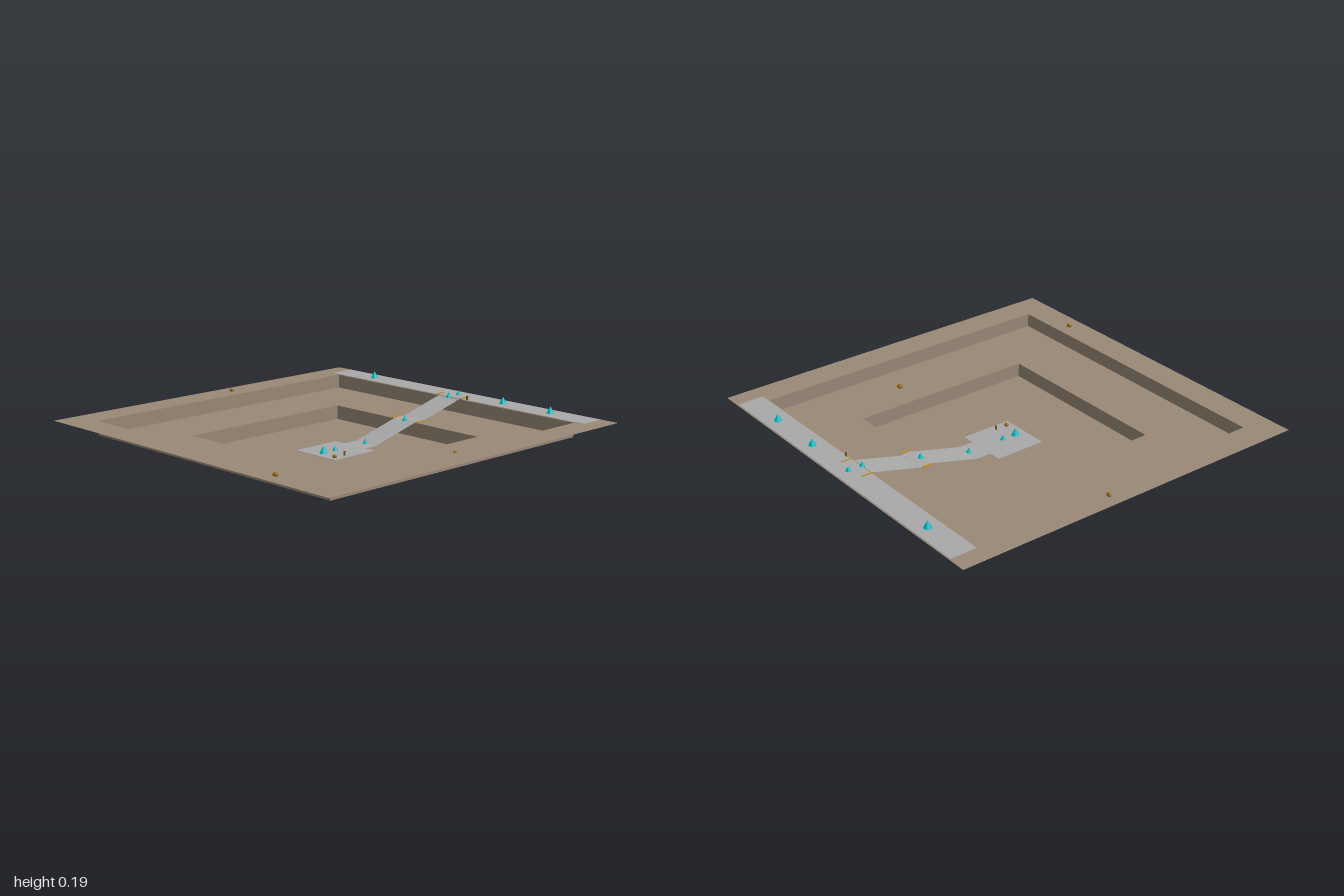
import * as THREE from 'three';

export function createModel() {
  const model = new THREE.Group();
  const mat = (name, color, extra = {}) => {
    const m = new THREE.MeshStandardMaterial({ color, ...extra });
    m.name = name;
    return m;
  };
  const earth = mat('earth brown', 0x998877, { side: THREE.DoubleSide });
  const paving = mat('paving grey', 0xa9a9a9, { side: THREE.DoubleSide });
  const cyan = mat('marker cyan', 0x00bcc6);
  const ochre = mat('ochre', 0x9a6c1e, { flatShading: true });
  const gold = mat('rail gold', 0xc8922a);

  const TOP = 0.155, MID = 0.081, LOW = 0.006; // terrace levels
  const OUTER = 0.843, INNER = 0.505;          // half widths of the two pits

  const add = (name, geometry, material, x = 0, y = 0, z = 0) => {
    const mesh = new THREE.Mesh(geometry, material);
    mesh.name = name;
    mesh.position.set(x, y, z);
    model.add(mesh);
    return mesh;
  };
  const square = (Type, h) => new Type([
    new THREE.Vector2(-h, -h), new THREE.Vector2(h, -h),
    new THREE.Vector2(h, h), new THREE.Vector2(-h, h),
  ]);

  // Terraced ground: flat square rings joined by vertical walls
  const terrace = (name, half, hole, y) => {
    const shape = square(THREE.Shape, half);
    if (hole) shape.holes.push(square(THREE.Path, hole));
    add(name, new THREE.ShapeGeometry(shape).rotateX(-Math.PI / 2), earth, 0, y, 0);
  };
  terrace('upperTerrace', 1, OUTER, TOP);
  terrace('middleTerrace', OUTER, INNER, MID);
  terrace('pitFloor', INNER, 0, LOW);

  const walls = (name, half, y0, y1) => {
    for (let i = 0; i < 4; i++) {
      const g = new THREE.PlaneGeometry(half * 2, y1 - y0)
        .translate(0, (y0 + y1) / 2, half).rotateY(i * Math.PI / 2);
      add(name, g, earth);
    }
  };
  walls('outerPitWall', OUTER, MID, TOP);
  walls('innerPitWall', INNER, LOW, MID);

  // Thin paving slabs; the lower ones reach just through the ground sheet
  const slab = (name, half, z0, z1, y0, y1) => add(name,
    new THREE.BoxGeometry(half * 2, y1 - y0, z1 - z0), paving, 0, (y0 + y1) / 2, (z0 + z1) / 2);
  slab('rimRoad', 0.9, -0.993, -0.85, TOP + 0.0005, TOP + 0.002);
  slab('landing', 0.08, -0.572, -0.505, MID - 0.001, MID + 0.0015);
  slab('pad', 0.14, -0.14, 0.14, LOW - 0.001, LOW + 0.0015);
  slab('padNeck', 0.075, -0.22, -0.14, LOW - 0.001, LOW + 0.0015);

  // Sloping ramps between the levels
  const ramp = (name, z0, y0, z1, y1) => {
    const g = new THREE.PlaneGeometry(0.148, Math.hypot(z1 - z0, y1 - y0)).rotateX(-Math.PI / 2);
    add(name, g, paving, 0, (y0 + y1) / 2, (z0 + z1) / 2).rotation.x = Math.atan2(y0 - y1, z1 - z0);
  };
  ramp('upperRamp', -0.852, TOP + 0.001, -0.572, MID + 0.001);
  ramp('lowerRamp', -0.505, MID + 0.001, -0.22, LOW + 0.001);

  // Cone markers along the route
  const cone = (name, r, h, x, ground, z) =>
    add(name, new THREE.ConeGeometry(r, h, 16), cyan, x, ground - 0.002 + h / 2, z);
  for (const x of [-0.635, 0.313, 0.63]) cone('roadMarker', 0.022, 0.042, x, TOP, -0.923);
  cone('padMarker', 0.022, 0.042, 0, LOW, 0.08);
  for (const [z, y] of [[-0.923, TOP], [-0.845, TOP], [-0.508, MID], [-0.215, LOW], [0, LOW]])
    cone('pathMarker', 0.015, 0.03, 0, y, z);

  // Low rails beside the ramp heads
  for (const side of [-1, 1]) {
    for (const [y, z] of [[TOP, -0.875], [MID, -0.533]])
      add('rail', new THREE.BoxGeometry(0.004, 0.008, 0.056), gold, side * 0.086, y + 0.004, z);
  }

  // Small sign plates
  for (const [x, y, z] of [[0.122, TOP, -0.855], [0.105, LOW, 0.037]])
    add('sign', new THREE.BoxGeometry(0.014, 0.024, 0.003), ochre, x, y + 0.012, z);

  // Scattered stones, partly sunk into the ground
  for (const [x, y, z, r] of [[-0.923, TOP, -0.108, 0.013], [0.672, MID, -0.16, 0.018],
    [0.577, TOP, 0.92, 0.016], [0.103, LOW, 0.103, 0.013]]) {
    add('stone', new THREE.SphereGeometry(r, 8, 6), ochre, x, y + 0.006, z).scale.set(1, 0.012 / r, 0.8);
  }
  return model;
}
